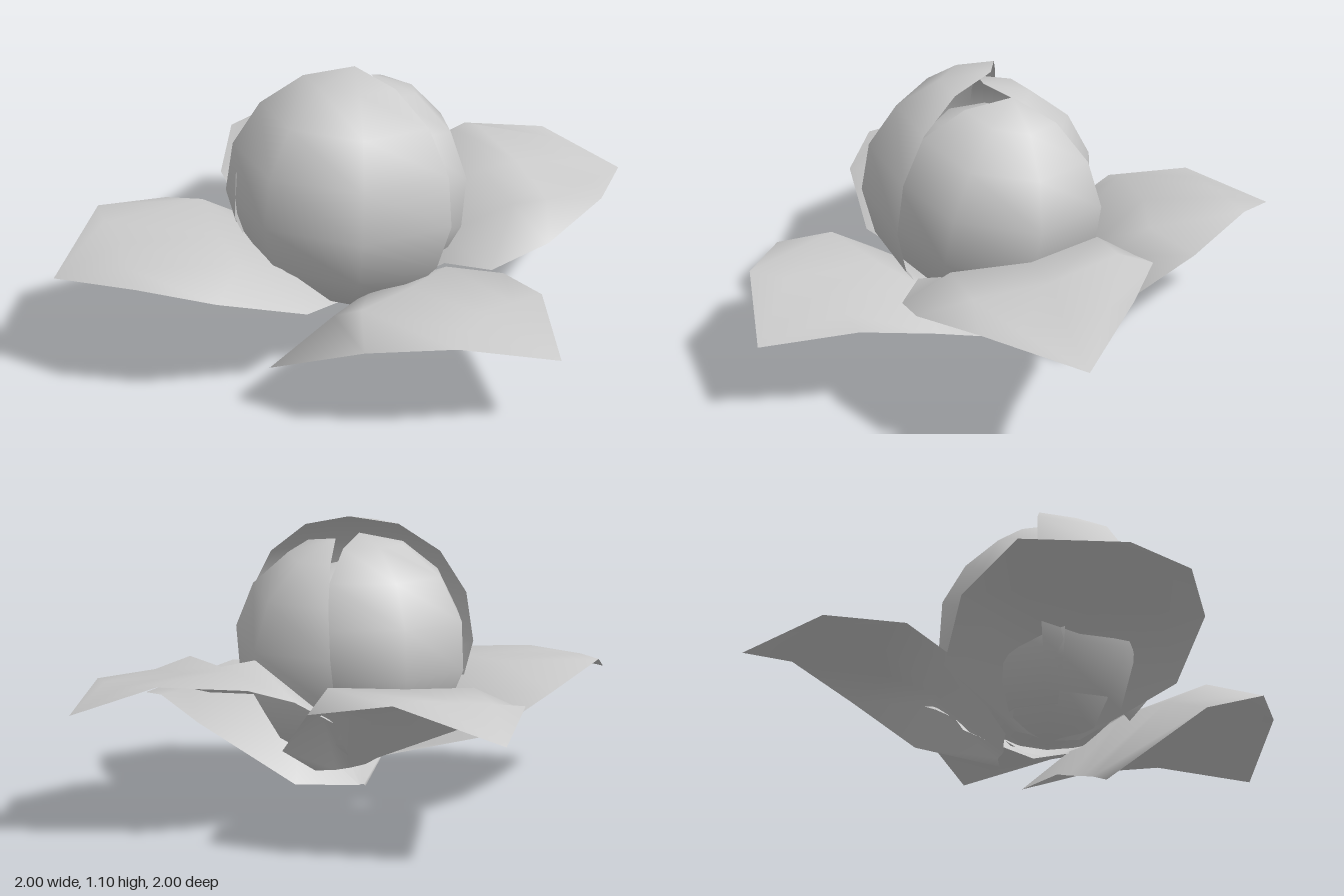
import * as THREE from 'three';

const material = new THREE.MeshStandardMaterial({ color: 0xcccccc, side: THREE.DoubleSide });
const rad = THREE.MathUtils.degToRad;

// Leaf surface from cross-sections (edge to edge) running from base to a shared tip
function leaf(name, rows, tip) {
  const columns = rows[0].length;
  const tipIndex = rows.length * columns;
  const index = [];
  for (let i = 0; i < rows.length; i++) {
    for (let j = 0; j < columns - 1; j++) {
      const a = i * columns + j, b = a + 1;
      const last = i === rows.length - 1;
      const c = last ? tipIndex : a + columns;
      index.push(a, c, b);
      if (!last) index.push(b, c, b + columns);
    }
  }
  const geometry = new THREE.BufferGeometry();
  geometry.setAttribute('position', new THREE.Float32BufferAttribute(
    [...rows.flat(2), ...tip], 3));
  geometry.setIndex(index);
  geometry.computeVertexNormals();
  const mesh = new THREE.Mesh(geometry, material);
  mesh.name = name;
  return mesh;
}

// Head leaf: a patch of a coarse sphere, tilted sideways;
// angles start at -x and turn towards +z
function shell(name, radius, centre, from, to, bottom, tilt) {
  const columns = Math.round((to - from) / 46);
  const geometry = new THREE.SphereGeometry(
    radius, columns, 6, rad(from), rad(to - from), 0, rad(bottom));
  const mesh = new THREE.Mesh(geometry, material);
  mesh.position.set(...centre);
  mesh.rotation.z = tilt;
  mesh.name = name;
  return mesh;
}

export function createModel() {
  const model = new THREE.Group();
  model.name = 'leafyHead';

  // Overlapping leaves closed around the core
  const head = new THREE.Group();
  head.name = 'head';
  head.add(
    shell('core', 0.38, [-0.03, 0.56, -0.05], 0, 360, 180, 0),
    shell('leftHeadLeaf', 0.435, [0.01, 0.605, -0.055], 66, 202, 150, -0.22),
    shell('backHeadLeaf', 0.425, [-0.055, 0.61, -0.065], 190, 322, 150, 0),
    shell('rightHeadLeaf', 0.472, [-0.03, 0.63, -0.05], -50, 91, 142, -0.06),
  );
  model.add(head);

  // Four open outer leaves, domed across the middle with drooping edges
  model.add(leaf('frontOuterLeaf', [
    [[-0.26, 0, 0.02], [-0.21, 0.02, 0], [-0.17, 0.03, -0.01], [-0.12, 0.04, -0.03], [-0.08, 0.05, -0.05]],
    [[-0.68, 0.18, 0.09], [-0.42, 0.31, 0.18], [-0.2, 0.32, 0.18], [0, 0.27, 0.17], [0.21, 0.1, 0.06]],
    [[-0.63, 0.37, 0.49], [-0.47, 0.42, 0.35], [-0.2, 0.39, 0.36], [0.06, 0.36, 0.34], [0.24, 0.3, 0.48]],
    [[-0.46, 0.41, 0.77], [-0.33, 0.4, 0.7], [-0.18, 0.39, 0.68], [-0.02, 0.37, 0.7], [0.11, 0.36, 0.74]],
  ], [-0.15, 0.3, 1]));

  model.add(leaf('rightOuterLeaf', [
    [[0, 0.2, -0.2], [-0.02, 0.2, -0.14], [-0.04, 0.19, -0.08], [-0.08, 0.19, -0.03], [-0.12, 0.2, 0.03]],
    [[-0.06, 0.31, -0.61], [-0.18, 0.42, -0.42], [-0.28, 0.4, -0.2], [-0.4, 0.42, -0.02], [-0.51, 0.34, 0.13]],
    [[-0.3, 0.45, -0.76], [-0.35, 0.54, -0.52], [-0.5, 0.52, -0.3], [-0.62, 0.52, -0.1], [-0.8, 0.45, -0.05]],
    [[-0.62, 0.53, -0.81], [-0.7, 0.53, -0.7], [-0.79, 0.52, -0.55], [-0.88, 0.51, -0.4], [-0.95, 0.49, -0.3]],
  ], [-1, 0.43, -0.67]));

  model.add(leaf('backOuterLeaf', [
    [[0.23, 0.17, -0.04], [0.18, 0.17, -0.1], [0.12, 0.17, -0.13], [0.08, 0.18, -0.17], [0.04, 0.2, -0.2]],
    [[0.61, 0.33, -0.13], [0.45, 0.44, -0.2], [0.3, 0.4, -0.32], [0.12, 0.42, -0.45], [-0.06, 0.36, -0.58]],
    [[0.77, 0.51, -0.33], [0.58, 0.57, -0.3], [0.38, 0.55, -0.5], [0.14, 0.53, -0.65], [0, 0.45, -0.74]],
    [[0.75, 0.57, -0.65], [0.62, 0.57, -0.7], [0.5, 0.55, -0.77], [0.37, 0.53, -0.84], [0.26, 0.51, -0.91]],
  ], [0.6, 0.44, -1]));

  model.add(leaf('leftOuterLeaf', [
    [[-0.04, 0.22, 0.12], [0, 0.18, 0.05], [0.04, 0.17, 0], [0.08, 0.18, -0.06], [0.12, 0.22, -0.12]],
    [[0.02, 0.4, 0.36], [0.16, 0.42, 0.24], [0.23, 0.42, 0.1], [0.33, 0.45, -0.06], [0.4, 0.4, -0.22]],
    [[0.1, 0.39, 0.52], [0.3, 0.57, 0.47], [0.46, 0.575, 0.22], [0.58, 0.64, 0], [0.61, 0.51, -0.18]],
    [[0.3, 0.46, 0.64], [0.46, 0.54, 0.52], [0.61, 0.57, 0.28], [0.7, 0.62, 0.02], [0.77, 0.57, -0.09]],
    [[0.63, 0.52, 0.66], [0.72, 0.53, 0.56], [0.8, 0.54, 0.42], [0.88, 0.57, 0.28], [0.92, 0.58, 0.19]],
  ], [1, 0.46, 0.51]));

  return model;
}
